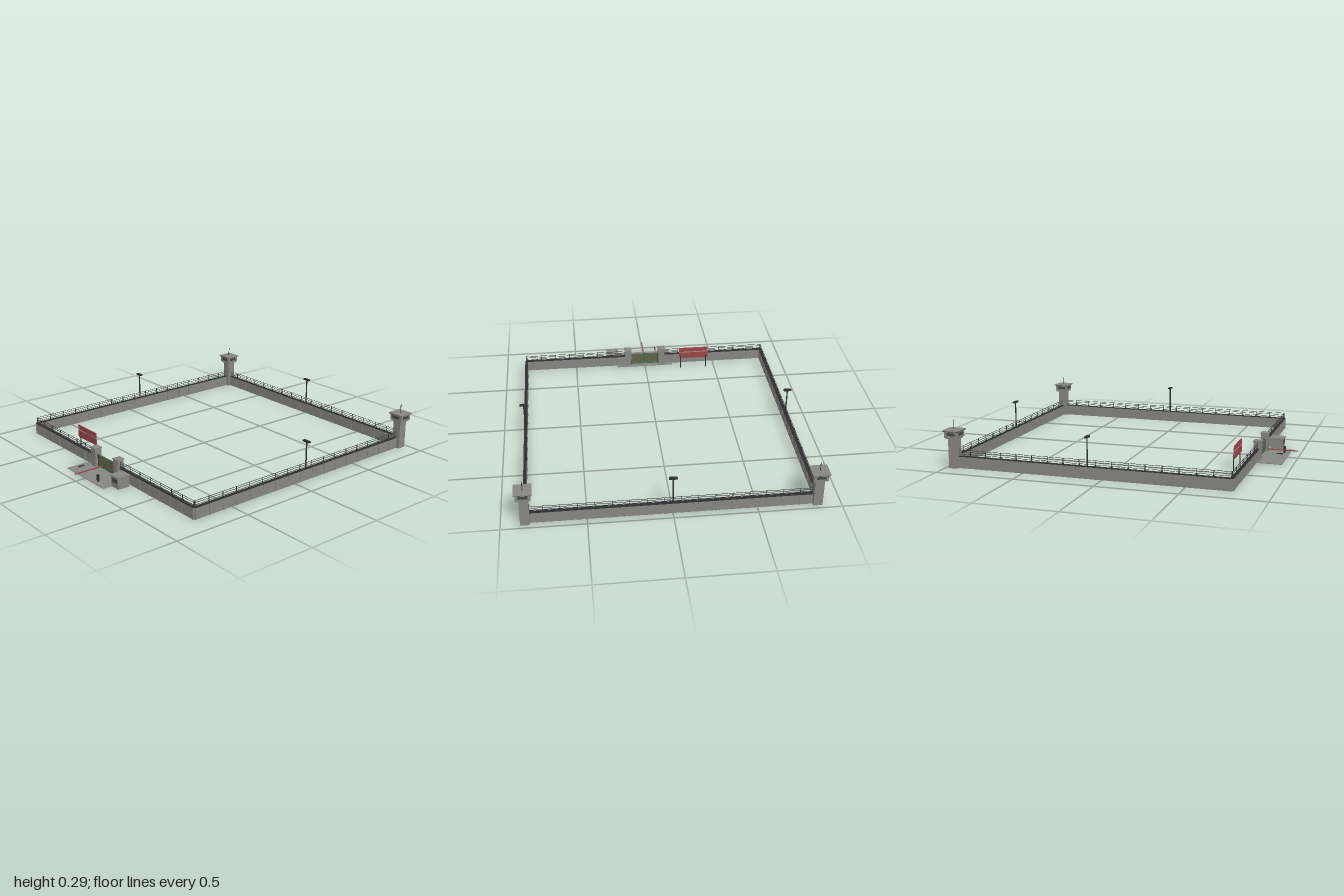
import * as THREE from 'three';

const material = (name, color) => {
  const m = new THREE.MeshStandardMaterial({ color });
  m.name = name;
  return m;
};

export function createModel() {
  const concrete = material('concrete', 0x868682);
  const metal = material('dark metal', 0x303032);
  const glass = material('dark window', 0x44484a);
  const green = material('gate green', 0x566b4e);
  const red = material('sign red', 0x9c464a);
  const pale = material('pale stripe', 0xb08a88);

  const model = new THREE.Group();
  model.name = 'walledCompound';

  const group = (name, x = 0, y = 0, z = 0, parent = model) => {
    const g = new THREE.Group();
    g.name = name;
    g.position.set(x, y, z);
    parent.add(g);
    return g;
  };
  const add = (parent, name, geometry, mat, x, y, z) => {
    const mesh = new THREE.Mesh(geometry, mat);
    mesh.name = name;
    mesh.position.set(x, y, z);
    parent.add(mesh);
    return mesh;
  };
  // Box given by its centre in x and z and its bottom in y
  const box = (parent, name, mat, w, h, d, x, y, z) =>
    add(parent, name, new THREE.BoxGeometry(w, h, d), mat, x, y + h / 2, z);

  const X = 0.857, FRONT = 0.767, BACK = -0.948, WALL = 0.075;

  // Straight wall with pilasters, dark coping, posts and three wires
  function wall(name, x1, z1, x2, z2) {
    const length = Math.hypot(x2 - x1, z2 - z1);
    const g = group(name, (x1 + x2) / 2, 0, (z1 + z2) / 2);
    g.rotation.y = -Math.atan2(z2 - z1, x2 - x1);
    box(g, 'wallPanel', concrete, length, WALL - 0.004, 0.016, 0, 0, 0);
    box(g, 'coping', metal, length, 0.004, 0.02, 0, WALL - 0.004, 0);
    const count = Math.round(length / 0.1);
    for (let i = 0; i <= count; i++) {
      const x = -length / 2 + 0.004 + (i / count) * (length - 0.008);
      box(g, 'pilaster', concrete, 0.008, WALL - 0.004, 0.022, x, 0, 0);
      add(g, 'postFoot', new THREE.ConeGeometry(0.009, 0.014, 4), metal, x, WALL + 0.007, 0);
      box(g, 'fencePost', metal, 0.003, 0.038, 0.003, x, WALL, 0);
    }
    for (const y of [0.085, 0.098, 0.11]) {
      box(g, 'fenceWire', metal, length, 0.002, 0.002, 0, y, 0);
    }
  }
  wall('leftWall', X, FRONT, X, BACK);
  wall('rightWall', -X, BACK, -X, FRONT);
  wall('backWall', X, BACK, -X, BACK);
  wall('frontWallRight', -X, FRONT, -0.14, FRONT);
  wall('frontWallLeft', 0.14, FRONT, X, FRONT);

  // Watchtowers on the back corners
  for (const side of [-1, 1]) {
    const t = group('watchtower', side * X, 0, BACK);
    box(t, 'shaft', concrete, 0.056, 0.185, 0.056, 0, 0, 0);
    box(t, 'cabinFloor', concrete, 0.078, 0.008, 0.078, 0, 0.182, 0);
    box(t, 'cabin', concrete, 0.088, 0.04, 0.088, 0, 0.19, 0);
    box(t, 'roofTrim', metal, 0.1, 0.003, 0.1, 0, 0.228, 0);
    box(t, 'roof', concrete, 0.106, 0.006, 0.104, 0, 0.231, 0);
    box(t, 'slitWindowsSide', glass, 0.09, 0.018, 0.055, 0, 0.203, 0);
    box(t, 'slitWindowsFront', glass, 0.055, 0.018, 0.09, 0, 0.203, 0);
    add(t, 'antenna', new THREE.CylinderGeometry(0.002, 0.002, 0.06, 6), metal, 0, 0.265, 0);
  }

  // Floodlight masts along the sides and the back
  for (const [x, z] of [[-X, -0.09], [X, -0.09], [0, BACK]]) {
    const m = group('floodlightMast', x, 0, z);
    add(m, 'pole', new THREE.CylinderGeometry(0.004, 0.005, 0.245, 8), metal, 0, 0.1225, 0);
    box(m, 'lampHead', metal, 0.05, 0.01, 0.018, 0, 0.244, 0);
  }

  // Entrance: apron, pillars and two gate leaves
  const entrance = group('entrance');
  box(entrance, 'apron', concrete, 0.4, 0.004, 0.2, 0, 0, 0.833);
  for (const side of [-1, 1]) {
    box(entrance, 'gatePillar', concrete, 0.046, 0.122, 0.046, side * 0.122, 0, FRONT);
    box(entrance, 'pillarCap', concrete, 0.052, 0.006, 0.054, side * 0.122, 0.121, FRONT);
    box(entrance, 'gateLeaf', green, 0.097, 0.08, 0.008, side * 0.05, 0.005, FRONT);
    box(entrance, 'gatePlate', red, 0.022, 0.022, 0.012, side * 0.058, 0.042, FRONT);
    box(entrance, 'gateHinge', metal, 0.004, 0.08, 0.012, side * 0.097, 0.005, FRONT);
  }

  // Barrier with its post and rest
  const barrier = group('barrier');
  box(barrier, 'barrierPost', metal, 0.012, 0.044, 0.012, 0.097, 0.004, 0.9);
  box(barrier, 'barrierArm', red, 0.006, 0.006, 0.2, 0, 0.043, 0.9);
  box(barrier, 'barrierRest', metal, 0.006, 0.006, 0.04, -0.09, 0.04, 0.9);

  // Guard booth
  const booth = group('guardBooth', 0.232, 0, 0.832);
  box(booth, 'boothBody', concrete, 0.074, 0.07, 0.078, 0, 0, 0);
  box(booth, 'boothRoof', concrete, 0.084, 0.006, 0.088, 0, 0.07, 0);
  box(booth, 'boothWindow', glass, 0.054, 0.026, 0.004, 0, 0.034, 0.039);

  // Sign board on two legs, behind the front wall
  const sign = group('signBoard', -0.347, 0, 0.687);
  box(sign, 'board', red, 0.208, 0.082, 0.006, 0, 0.078, 0);
  box(sign, 'stripe', pale, 0.208, 0.006, 0.008, 0, 0.124, 0);
  for (const side of [-1, 1]) {
    box(sign, 'signLeg', metal, 0.007, 0.1, 0.005, side * 0.092, 0, -0.005);
  }

  return model;
}
